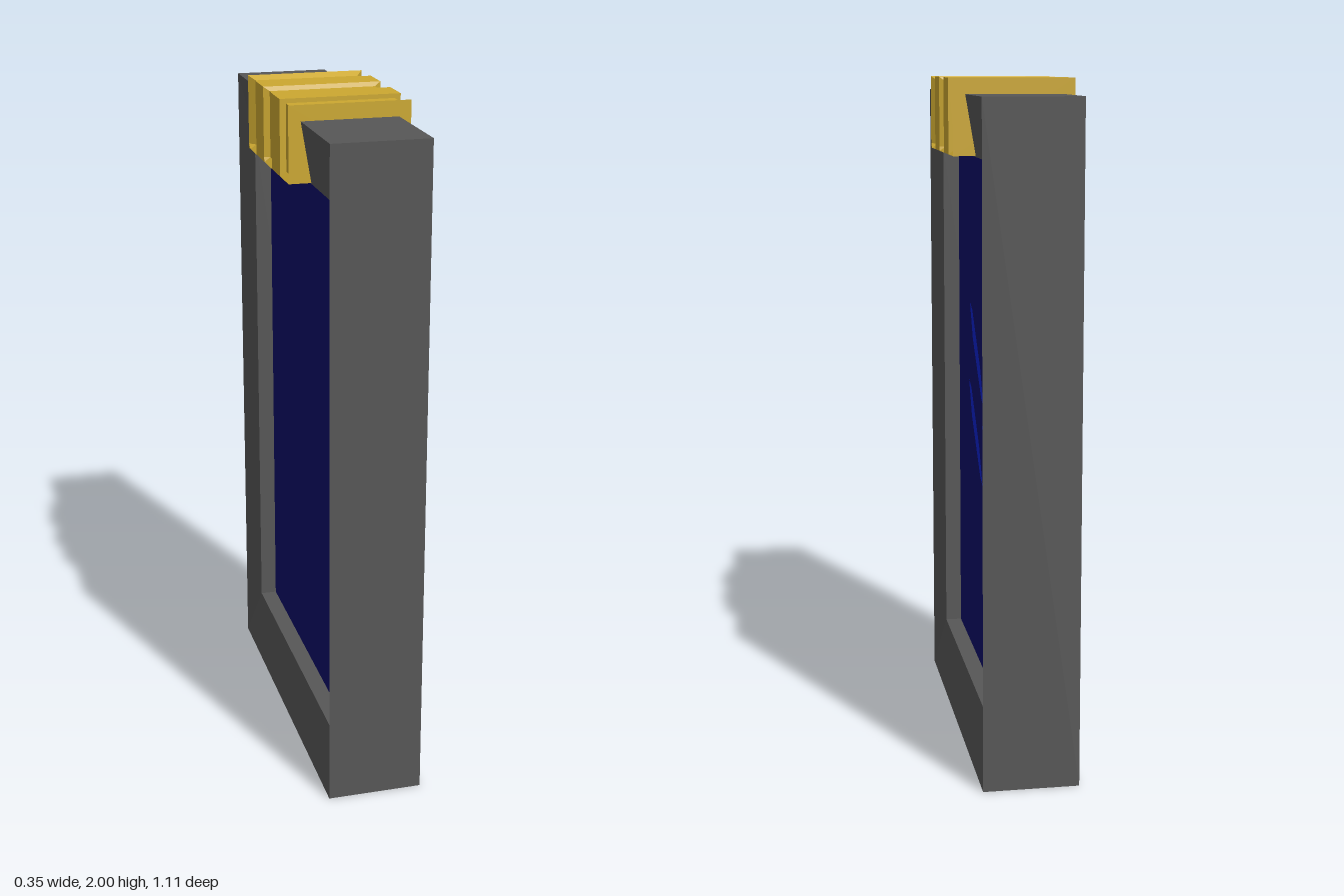
import * as THREE from 'three';

const material = (name, color) => {
  const m = new THREE.MeshStandardMaterial({ color });
  m.name = name;
  return m;
};

// Skin a list of equal-length rings (counter-clockwise along the path) with flat faces.
function loft(rings, closed) {
  const pos = [];
  const tri = (...corners) => corners.forEach((c) => pos.push(...c));
  const count = rings[0].length;
  const spans = closed ? rings.length : rings.length - 1;
  for (let i = 0; i < spans; i++) {
    const a = rings[i], b = rings[(i + 1) % rings.length];
    for (let j = 0; j < count; j++) {
      const k = (j + 1) % count;
      tri(a[j], a[k], b[k]);
      tri(a[j], b[k], b[j]);
    }
  }
  if (!closed) {
    const first = rings[0], last = rings[rings.length - 1];
    for (let j = 1; j < count - 1; j++) {
      tri(first[0], first[j + 1], first[j]);
      tri(last[0], last[j], last[j + 1]);
    }
  }
  const g = new THREE.BufferGeometry();
  g.setAttribute('position', new THREE.Float32BufferAttribute(pos, 3));
  g.computeVertexNormals();
  return g;
}

export function createModel() {
  const frameGrey = material('frame grey', 0x575757);
  const gold = material('gold', 0xcca830);
  const glassBlue = material('glass blue', 0x0d0d68);
  const glintBlue = material('glint blue', 0x0c22d0);

  const model = new THREE.Group();
  model.name = 'framedMirror';
  const add = (name, geometry, mat) => {
    const mesh = new THREE.Mesh(geometry, mat);
    mesh.name = name;
    model.add(mesh);
    return mesh;
  };

  // Mitred frame whose faces slope in towards the opening
  const rectRing = (x, y0, y1, z) => [[x, y0, -z], [x, y1, -z], [x, y1, z], [x, y0, z]];
  add('frame', loft([
    rectRing(-0.14, 0, 1.955, 0.555),
    rectRing(0.14, 0, 1.955, 0.555),
    rectRing(0.11, 0.18, 1.78, 0.46),
    rectRing(-0.11, 0.18, 1.78, 0.46),
  ], true), frameGrey);

  // Glass panel set back in the opening
  add('glass', new THREE.BoxGeometry(0.12, 1.6, 0.92), glassBlue).position.y = 0.98;

  // Three slanted glints on one face of the glass
  const outline = [[-0.2, 1.305], [-0.14, 1.197], [0.03, 1.04], [0.077, 1.02], [0.01, 1.13], [-0.15, 1.287]];
  const glint = new THREE.ShapeGeometry(
    new THREE.Shape(outline.map(([u, v]) => new THREE.Vector2(u, v)))).rotateY(Math.PI / 2);
  [[0, 0], [-0.249, 0.024], [-0.342, -0.241]].forEach(([y, z], i) => {
    add('glint' + (i + 1), glint, glintBlue).position.set(0.063, y, z);
  });

  // Gold clasp over the top bar, with three recessed bands between the ridges
  const section = ([z, inset]) => {
    const w = 0.175, foot = 1.783, s = w - inset, top = 2 - inset * 0.7;
    return [[w, foot, z], [s, foot + 0.013, z], [s, top, z],
      [-s, top, z], [-s, foot + 0.013, z], [-w, foot, z]];
  };
  const d = 0.018;
  const half = [[0.045, d], [0.05, 0], [0.15, 0], [0.15, d], [0.23, d], [0.25, 0]];
  const stations = [...half.map(([z, inset]) => [-z, inset]).reverse(), ...half];
  add('clasp', loft(stations.map(section), false), gold);

  return model;
}
